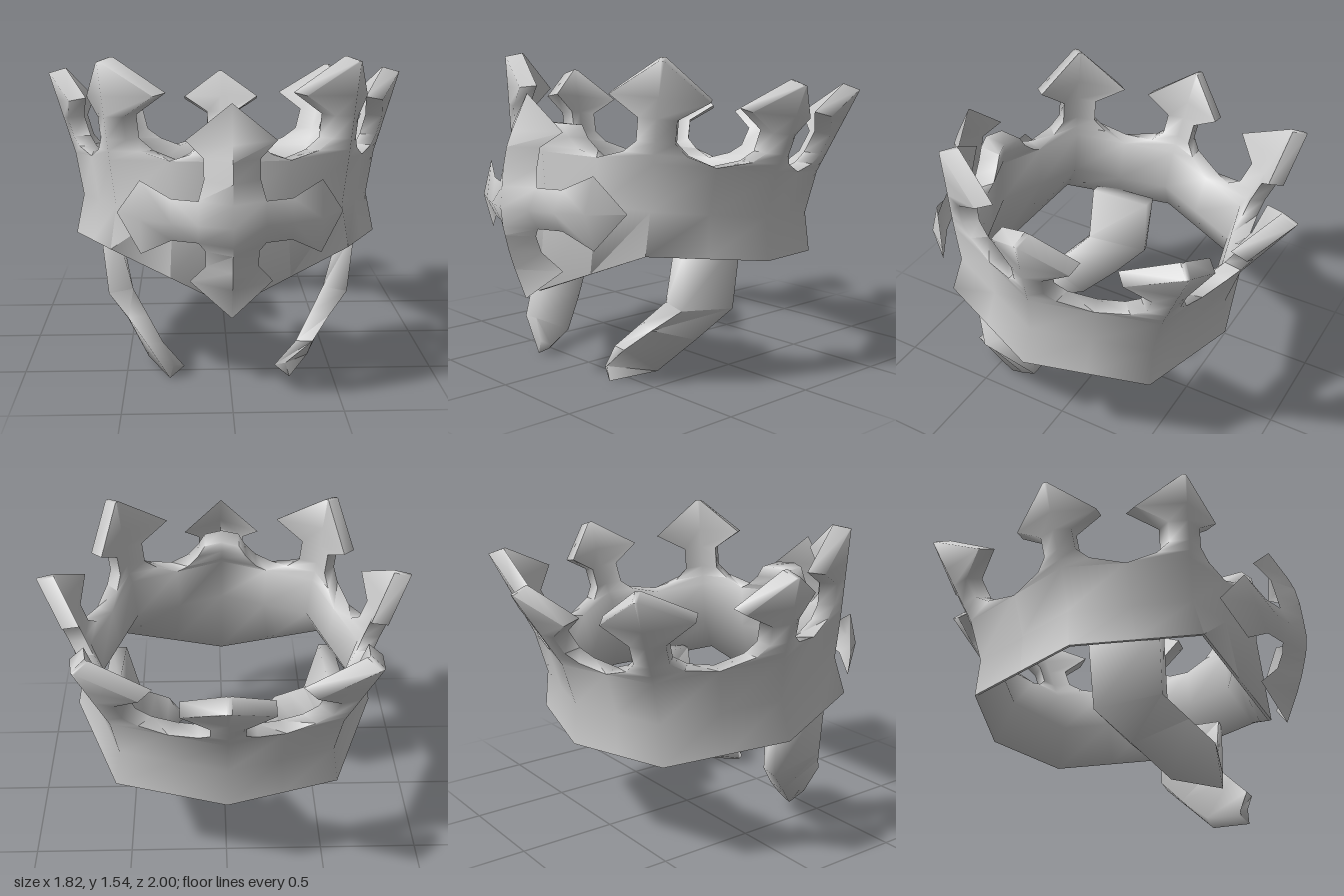
import * as THREE from 'three';
import { mergeGeometries, toCreasedNormals } from 'three/addons/utils/BufferGeometryUtils.js';

// Skin rows of points; closed rows become tubes with end caps. skip(i, j) leaves a wall open.
function loft(rows, closed, skip = () => false) {
  const n = rows[0].length, index = [];
  const quad = (a, b, c, d) => index.push(a, b, c, a, c, d);
  for (let i = 0; i < rows.length - 1; i++) {
    for (let j = 0; j < (closed ? n : n - 1); j++) {
      if (skip(i, j)) continue;
      const k = (j + 1) % n;
      quad(i * n + j, i * n + k, (i + 1) * n + k, (i + 1) * n + j);
    }
  }
  if (closed) {
    const top = (rows.length - 1) * n;
    for (let k = 0; k < n / 2 - 1; k++) {
      quad(n - 1 - k, n - 2 - k, k + 1, k);
      quad(top + k, top + k + 1, top + n - 2 - k, top + n - 1 - k);
    }
  }
  const g = new THREE.BufferGeometry();
  g.setAttribute('position', new THREE.Float32BufferAttribute(rows.flat(2), 3));
  g.setIndex(index);
  return g;
}

function makeMesh(name, geometry, crease, side = THREE.FrontSide) {
  const material = new THREE.MeshStandardMaterial({ color: 0xcccccc, side });
  const mesh = new THREE.Mesh(toCreasedNormals(geometry, THREE.MathUtils.degToRad(crease)), material);
  mesh.name = name;
  return mesh;
}

// Eight corners of the ring, going round from the front: x, z, lean of the point, width, extra height
const half = [
  { x: 0.56, z: 0.61, lean: 0.07, size: 1.15, rise: 0.02 },
  { x: 0.78, z: 0.03, lean: 0.13, size: 1, rise: -0.02 },
  { x: 0.55, z: -0.55, lean: 0.18, size: 1.1, rise: 0.01 },
];
const corners = [
  { x: 0, z: 0.815, lean: 0, size: 1, rise: 0, front: true },
  ...half,
  { x: 0, z: -0.7, lean: 0.205, size: 1, rise: -0.025 },
  ...half.map((c) => ({ ...c, x: -c.x })).reverse(),
];

const bandRows = [[0, 0, 0.015], [0.2, -0.04, 0.09], [0.42, 0, 0.1]]; // height, radial offset, thickness
const spikeRows = [[0.46, 0.14], [0.51, 0.085], [0.61, 0.085], [0.7, 0.222], [0.85, 0.012]]; // height, half width
const frontRows = [[0.45, 0.2], [0.5, 0.14], [0.56, 0.1]];

// Point on a corner at height v, moved out along the radius
function cornerPoint(c, v, offset) {
  const s = 1 + offset / Math.hypot(c.x, c.z);
  return new THREE.Vector3(c.x * s, v, c.z * s);
}

// One corner of the ring: its share of the band plus the point above it
function sector(k) {
  const c = corners[k], prev = corners[(k + 7) % 8], next = corners[(k + 1) % 8];
  const rows = bandRows.map(([v, off, thick], i) => {
    // the front corner dips to a low point at the hem
    const at = (d, inset) => (i === 0 && d.front
      ? cornerPoint(d, -0.25, -0.045 - inset) : cornerPoint(d, v, off - inset));
    const mid = (d, inset) => at(c, inset).lerp(at(d, inset), 0.5);
    return [mid(prev, 0), at(c, 0), mid(next, 0), mid(next, thick), at(c, thick), mid(prev, thick)];
  });
  const toward = (d) => new THREE.Vector3(d.x - c.x, 0, d.z - c.z).normalize();
  const dirs = [toward(prev), toward(next)];
  for (const [v, w] of c.front ? frontRows : spikeRows) {
    const t = (v - 0.42) / 0.43;
    const outer = cornerPoint(c, v + c.rise * t, c.lean * t);
    const inner = cornerPoint(c, v + (c.rise + (c.front ? 0 : 0.025)) * t, c.lean * t - (c.front ? 0.115 : 0.085));
    const side = (p, s) => p.clone().addScaledVector(dirs[s], w * c.size);
    rows.push([side(outer, 0), outer, side(outer, 1), side(inner, 1), inner, side(inner, 0)]);
  }
  const points = rows.map((r) => r.map((p) => p.toArray()));
  return loft(points, true, (i, j) => i < 2 && (j === 2 || j === 5));
}

export function createModel() {
  const model = new THREE.Group();
  model.name = 'crown';

  // Ring with its points, tipped slightly backwards
  const ring = makeMesh('crownRing', mergeGeometries(corners.map((c, k) => sector(k))), 95);
  ring.rotation.x = -0.12;
  ring.position.y = 0.58;
  model.add(ring);

  // Curved cheek guards hanging from the sides
  const guard = [
    [[0.64, 0.68, 0.07], [0.62, 0.68, 0.41], [0.54, 0.68, 0.41], [0.56, 0.68, 0.07]],
    [[0.61, 0.33, 0.09], [0.59, 0.37, 0.41], [0.47, 0.39, 0.4], [0.55, 0.36, 0.07]],
    [[0.51, 0.18, 0.24], [0.49, 0.275, 0.505], [0.395, 0.285, 0.495], [0.45, 0.21, 0.21]],
    [[0.4, 0.03, 0.39], [0.4, 0.18, 0.6], [0.32, 0.18, 0.59], [0.34, 0.07, 0.37]],
    [[0.29, 0, 0.6], [0.27, 0.07, 0.6], [0.22, 0.05, 0.57], [0.24, 0.03, 0.57]],
  ];
  const mirrored = guard.map((r) => r.map(([x, y, z]) => [-x, y, z]).reverse());
  model.add(makeMesh('leftCheekGuard', loft(guard, true), 100));
  model.add(makeMesh('rightCheekGuard', loft(mirrored, true), 100));

  // Bent cross plate on the front: upright, then the two arms
  const upright = [ // y, half width, ridge z, edge z
    [0.4, 0.002, 0.87, 0.87], [0.55, 0.19, 0.93, 0.79], [0.64, 0.12, 0.96, 0.86],
    [0.72, 0.12, 0.98, 0.89], [0.76, 0.15, 0.99, 0.9], [0.85, 0.15, 1, 0.95],
    [0.95, 0.15, 0.99, 0.9], [1.04, 0.125, 0.98, 0.88], [1.13, 0.125, 0.96, 0.86],
    [1.2, 0.205, 0.93, 0.79], [1.37, 0.002, 0.84, 0.84],
  ].map(([y, w, zc, ze]) => [[-w, y, ze], [0, y, zc], [w, y, ze]]);
  const arm = [ // x, low y, high y, ridge z, edge z
    [0.15, 0.76, 0.95, 0.95, 0.9], [0.27, 0.76, 0.95, 0.9, 0.85],
    [0.41, 0.68, 1.02, 0.83, 0.78], [0.52, 0.848, 0.852, 0.68, 0.68],
  ];
  const armRows = (s) => arm.map(([x, lo, hi, zc, ze]) => {
    const row = [[s * x, hi, ze], [s * x, 0.85, zc], [s * x, lo, ze]];
    return s > 0 ? row : row.reverse();
  });
  const cross = mergeGeometries([loft(upright, false), loft(armRows(1), false), loft(armRows(-1), false)]);
  model.add(makeMesh('frontCross', cross, 70, THREE.DoubleSide));
  return model;
}
